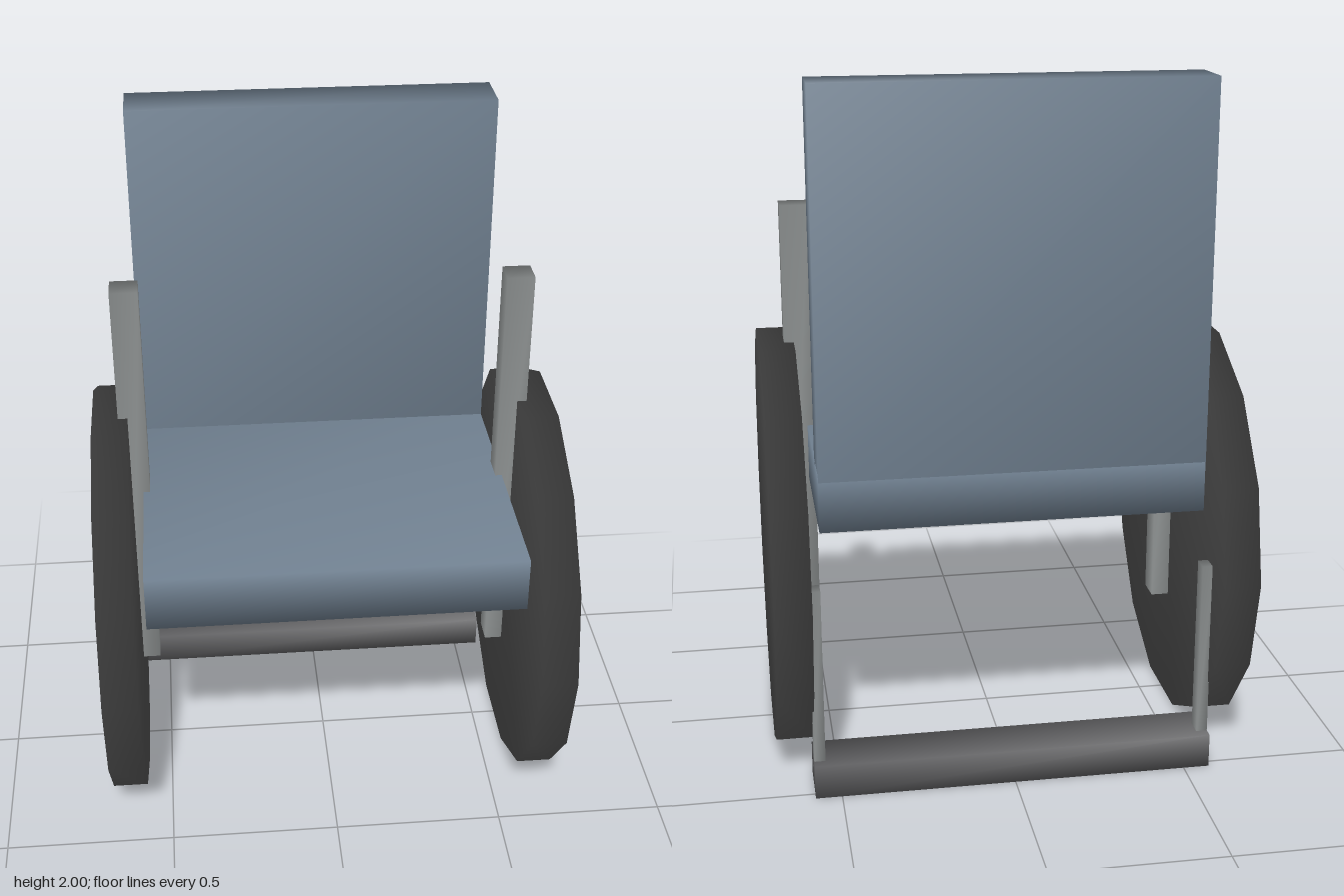
import * as THREE from 'three';
import { mergeVertices } from 'three/addons/utils/BufferGeometryUtils.js';

const fabric = new THREE.MeshStandardMaterial({ color: 0x708090 });
const rubber = new THREE.MeshStandardMaterial({ color: 0x4a4a4a });
const metal = new THREE.MeshStandardMaterial({ color: 0x909494 });
const darkMetal = new THREE.MeshStandardMaterial({ color: 0x5a5a5c });

// Share corners so shading runs smoothly over the edges
function soften(geometry) {
  geometry.deleteAttribute('normal');
  geometry.deleteAttribute('uv');
  const smooth = mergeVertices(geometry, 1e-4);
  smooth.computeVertexNormals();
  return smooth;
}

function addMesh(group, name, geometry, material) {
  const mesh = new THREE.Mesh(soften(geometry), material);
  mesh.name = name;
  group.add(mesh);
  return mesh;
}

// Box given by its extents along each axis
function addBox(group, name, [x0, x1], [y0, y1], [z0, z1], material) {
  const mesh = addMesh(group, name, new THREE.BoxGeometry(x1 - x0, y1 - y0, z1 - z0), material);
  mesh.position.set((x0 + x1) / 2, (y0 + y1) / 2, (z0 + z1) / 2);
}

export function createModel() {
  const model = new THREE.Group();
  model.name = 'wheelchair';

  // Seat and backrest
  addBox(model, 'seat', [-0.54, 0.54], [0.79, 0.955], [-0.49, 0.495], fabric);
  addBox(model, 'backrest', [-0.54, 0.54], [0.935, 2], [-0.492, -0.335], fabric);

  // Bar on the ground joining the rear legs
  addBox(model, 'rearCrossbar', [-0.575, 0.575], [0, 0.1], [-0.525, -0.375], darkMetal);

  for (const [side, s] of [['left', 1], ['right', -1]]) {
    const span = (a, b) => (s > 0 ? [a, b] : [-b, -a]);

    // Fourteen-sided solid wheel
    const disc = new THREE.CylinderGeometry(0.62, 0.62, 0.103, 14).rotateZ(Math.PI / 2);
    const wheel = addMesh(model, side + 'Wheel', disc, rubber);
    wheel.position.set(s * 0.6235, 0.605, 0);

    // Upright post beside the seat, and the thin rear leg
    addBox(model, side + 'Post', span(0.52, 0.6), [0.34, 1.61], [-0.042, 0.038], metal);
    addBox(model, side + 'RearLeg', span(0.543, 0.575), [0.06, 0.62], [-0.495, -0.447], metal);
  }
  return model;
}
